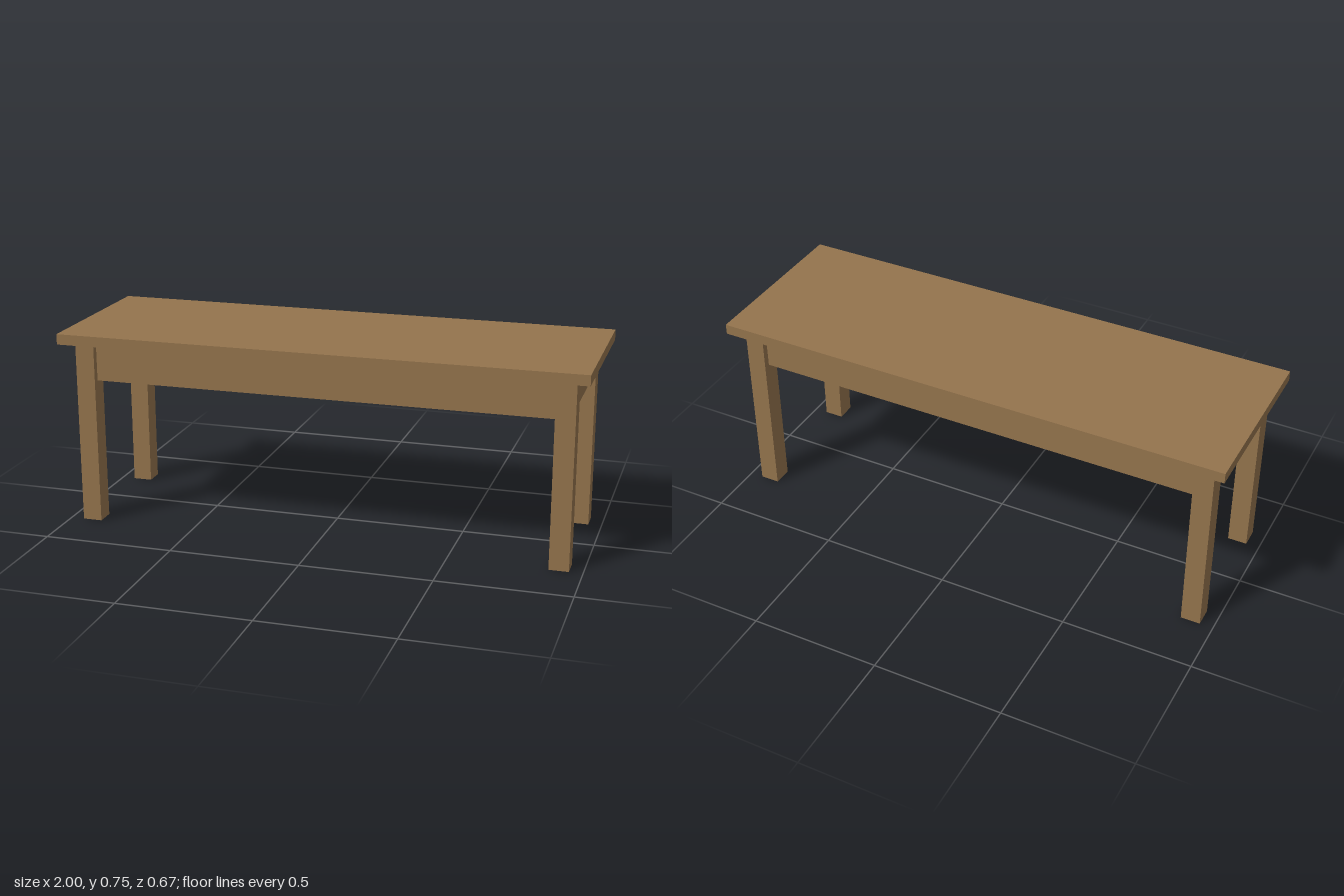
import * as THREE from 'three';

export function createModel() {
  const table = new THREE.Group();
  table.name = 'table';
  const wood = new THREE.MeshStandardMaterial({ color: 0x94744d });
  wood.name = 'wood';

  function box(name, size, position) {
    const mesh = new THREE.Mesh(new THREE.BoxGeometry(...size), wood);
    mesh.name = name;
    mesh.position.set(...position);
    table.add(mesh);
  }

  const legSize = 0.074, legX = 0.912, legZ = 0.247;
  const legHeight = 0.71, apronHeight = 0.15, apronThickness = 0.025;
  const apronY = legHeight - apronHeight / 2;

  // Top slab
  box('tabletop', [2, 0.04, 0.667], [0, legHeight + 0.02, 0]);

  // Square legs at the four corners
  for (const [side, sx] of [['Left', 1], ['Right', -1]]) {
    for (const [end, sz] of [['front', 1], ['back', -1]]) {
      box(`${end}${side}Leg`, [legSize, legHeight, legSize], [sx * legX, legHeight / 2, sz * legZ]);
    }
  }

  // Thin aprons set back from the outer leg faces
  for (const [long, short, s] of [['front', 'left', 1], ['back', 'right', -1]]) {
    box(`${long}Apron`, [2 * legX - legSize, apronHeight, apronThickness], [0, apronY, s * legZ]);
    box(`${short}Apron`, [apronThickness, apronHeight, 2 * legZ - legSize], [s * legX, apronY, 0]);
  }

  return table;
}
